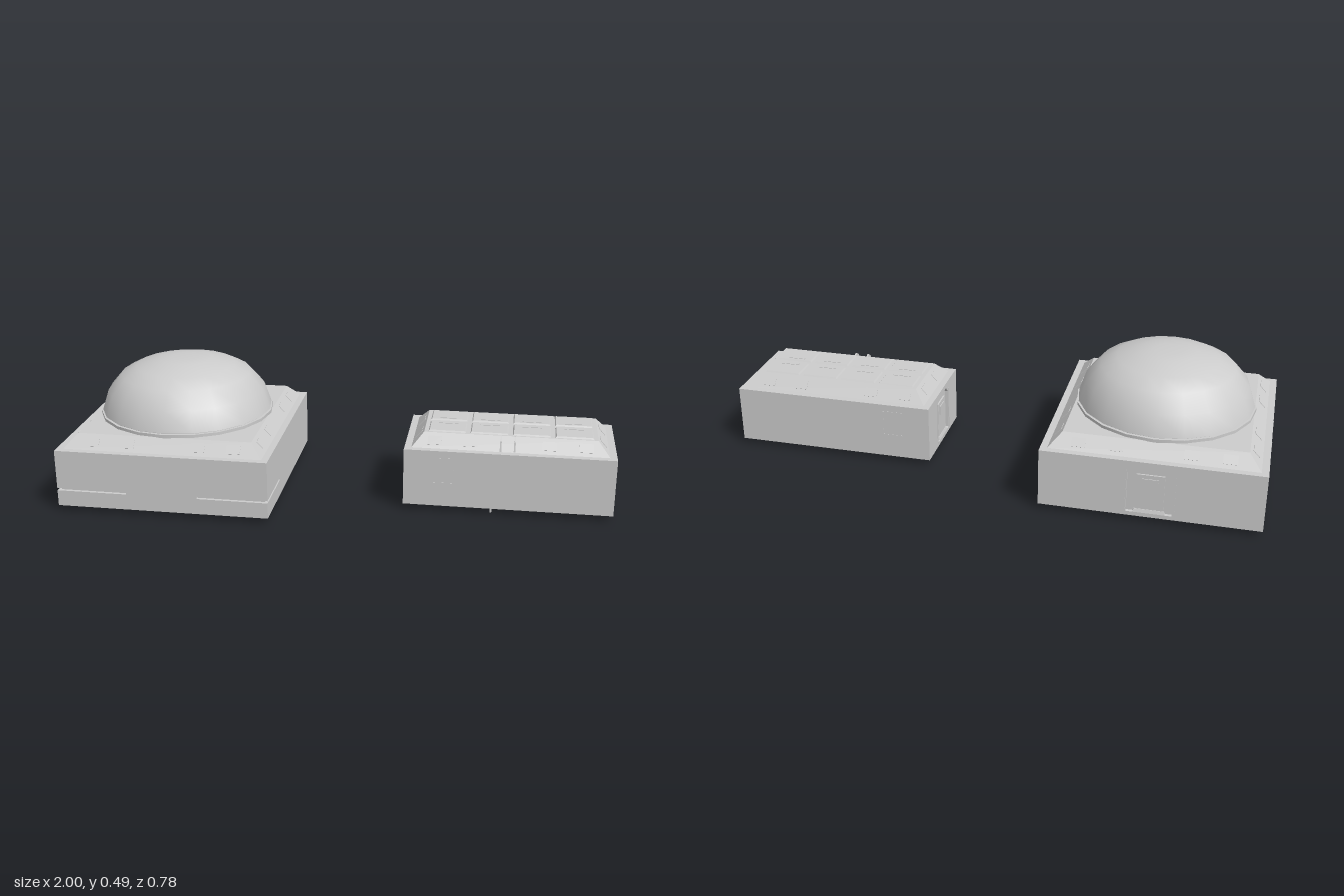
import * as THREE from 'three';
import { toCreasedNormals } from 'three/addons/utils/BufferGeometryUtils.js';

const BASE = 0.02, WALL_TOP = 0.233, ROOF = 0.28, H = WALL_TOP - BASE, T = 0.012;

export function createModel() {
  const root = new THREE.Group();
  const grey = new THREE.MeshStandardMaterial({ color: 0xcccccc });
  grey.name = 'panel grey';

  const add = (parent, name, geo, x = 0, y = 0, z = 0) => {
    const m = new THREE.Mesh(geo, grey);
    m.name = name;
    m.position.set(x, y, z);
    parent.add(m);
    return m;
  };
  const box = (w, h, d) => new THREE.BoxGeometry(w, h, d);

  // Box whose top is smaller than its base by the same inset on each side
  const frustum = (w, h, d, inset) => {
    const g = box(w, h, d).toNonIndexed();
    const p = g.attributes.position;
    for (let i = 0; i < p.count; i++) {
      if (p.getY(i) > 0) {
        p.setX(i, p.getX(i) - Math.sign(p.getX(i)) * inset);
        p.setZ(i, p.getZ(i) - Math.sign(p.getZ(i)) * inset);
      }
    }
    g.computeVertexNormals();
    return g;
  };

  // Wall plate with optional end slots and a door opening
  const wallShape = (w, { left = 0, right = 0, door = 0 }) => {
    const a = w / 2, s = new THREE.Shape();
    const lo = 0.079 - BASE, hi = 0.088 - BASE;
    s.moveTo(-a, 0);
    s.lineTo(a, 0);
    if (right) [[a, lo], [a - right, lo], [a - right, hi], [a, hi]].forEach(q => s.lineTo(...q));
    s.lineTo(a, H);
    s.lineTo(-a, H);
    if (left) [[-a, hi], [left - a, hi], [left - a, lo], [-a, lo]].forEach(q => s.lineTo(...q));
    s.closePath();
    if (door) {
      const b = door / 2, hole = new THREE.Path();
      [[-b, 0.015], [-b, 0.17], [0.025 - b, 0.195], [b - 0.025, 0.195], [b, 0.17], [b, 0.015]]
        .forEach((q, i) => (i ? hole.lineTo(...q) : hole.moveTo(...q)));
      hole.closePath();
      s.holes.push(hole);
    }
    return s;
  };

  const addWall = (parent, w, dist, angle, opts = {}) => {
    const side = new THREE.Group();
    side.name = 'wallSide';
    side.rotation.y = angle;
    parent.add(side);
    const geo = new THREE.ExtrudeGeometry(wallShape(w, opts), { depth: T, bevelEnabled: false });
    add(side, 'wall', geo, 0, BASE, dist - T);
    if (opts.door) {
      // Recessed door leaf with window, sill and frame strips
      add(side, 'doorLeaf', box(opts.door * 0.62, 0.14, 0.006), 0, 0.112, dist - T + 0.003);
      add(side, 'doorWindow', box(opts.door * 0.36, 0.035, 0.004), 0, 0.15, dist - T + 0.007);
      add(side, 'doorSill', frustum(opts.door * 0.7, 0.012, 0.012, 0.004), 0, 0.041, dist - 0.006);
      for (const k of [-1, 1])
        add(side, 'doorFrame', box(0.005, 0.17, 0.002), k * (opts.door / 2 + 0.006), 0.118, dist + 0.001);
    }
  };

  // Thin vent plates lying on one roof slope
  const addVents = (parent, dist, run, angle, offsets) => {
    const side = new THREE.Group();
    side.name = 'roofVents';
    side.rotation.y = angle;
    parent.add(side);
    for (const x of offsets) {
      const v = add(side, 'vent', box(0.05, 0.034, 0.003), x, (WALL_TOP + ROOF) / 2, dist - run / 2);
      v.rotation.x = -Math.atan2(run, ROOF - WALL_TOP);
    }
  };

  const addShell = (parent, w, d, inset) => {
    add(parent, 'core', box(w - 2 * T, H, d - 2 * T), 0, BASE + H / 2, 0);
    add(parent, 'roofSlope', frustum(w - 0.05, ROOF - WALL_TOP, d - 0.05, inset), 0, (WALL_TOP + ROOF) / 2, 0);
  };

  // Domed square module
  const domeModule = new THREE.Group();
  domeModule.name = 'domeModule';
  domeModule.position.x = -0.61;
  root.add(domeModule);
  const S = 0.78;
  addShell(domeModule, S, S, 0.045);
  addWall(domeModule, S, S / 2, 0, { left: 0.26, right: 0.26 });
  addWall(domeModule, S, S / 2, Math.PI / 2, { left: 0.22 });
  addWall(domeModule, S, S / 2, -Math.PI / 2, { right: 0.22, door: 0.16 });
  addWall(domeModule, S, S / 2, Math.PI, { door: 0.16 });
  for (let i = 0; i < 4; i++)
    addVents(domeModule, S / 2 - 0.025, 0.045, i * Math.PI / 2, [-0.26, -0.13, 0.13, 0.26]);

  // Dome and its base ring
  add(domeModule, 'domeRing', new THREE.CylinderGeometry(0.325, 0.325, 0.012, 20), 0, 0.285, 0);
  add(domeModule, 'domeNeck', new THREE.CylinderGeometry(0.314, 0.314, 0.006, 20), 0, 0.293, 0);
  const profile = [[0, 0.295], [0.32, 0.295], [0.295, 0.37], [0.243, 0.43], [0.185, 0.46], [0.1, 0.484], [0.05, 0.488], [0, 0.488]]
    .map(q => new THREE.Vector2(...q));
  add(domeModule, 'dome', toCreasedNormals(new THREE.LatheGeometry(profile, 20), 0.8));

  // Underside hub and octagonal outline
  add(domeModule, 'bottomHub', new THREE.CylinderGeometry(0.015, 0.015, 0.006, 12), 0, 0.017, 0);
  const outline = add(domeModule, 'bottomOutline', new THREE.RingGeometry(0.222, 0.226, 8, 1, Math.PI / 8), 0, 0.019, 0);
  outline.rotation.x = Math.PI / 2;

  // Long flat-roofed module
  const longModule = new THREE.Group();
  longModule.name = 'longModule';
  longModule.position.x = 0.618;
  root.add(longModule);
  const W = 0.756, D = 0.37;
  addShell(longModule, W, D, 0.042);
  addWall(longModule, W, D / 2, 0);
  addWall(longModule, W, D / 2, Math.PI);
  addWall(longModule, D, W / 2, Math.PI / 2);
  addWall(longModule, D, W / 2, -Math.PI / 2, { door: 0.14 });
  for (const a of [0, Math.PI]) addVents(longModule, D / 2 - 0.025, 0.042, a, [-0.27, -0.14, 0.14, 0.27]);
  for (const a of [Math.PI / 2, -Math.PI / 2]) addVents(longModule, W / 2 - 0.025, 0.042, a, [-0.063, 0.063]);

  // Roof panels, each with a small handle strip
  for (let i = 0; i < 4; i++) {
    for (const k of [-1, 1]) {
      const x = (i - 1.5) * 0.152;
      add(longModule, 'roofPanel', frustum(0.136, 0.005, 0.1, 0.004), x, ROOF + 0.0025, k * 0.06);
      add(longModule, 'panelHandle', box(0.07, 0.002, 0.01), x, ROOF + 0.0055, k * 0.028);
    }
  }

  // Access panel outlines on the long walls
  for (const k of [-1, 1]) {
    const z = k * (D / 2 + 0.0005);
    for (const y of [0.11, 0.205]) add(longModule, 'hatchEdge', box(0.075, 0.003, 0.001), -0.235, y, z);
    add(longModule, 'hatchEdge', box(0.003, 0.098, 0.001), -0.199, 0.1575, z);
  }

  // Twin fins on the front slope
  const fin = new THREE.Shape([[0.116, 0.279], [0.16, 0.234], [0.152, 0.27], [0.132, 0.284]].map(q => new THREE.Vector2(...q)));
  for (const x of [-0.03, 0.02]) {
    const f = add(longModule, 'roofFin', new THREE.ExtrudeGeometry(fin, { depth: 0.006, bevelEnabled: false }), x, 0, 0);
    f.rotation.y = -Math.PI / 2;
  }

  // Small ground pin
  add(longModule, 'groundPin', box(0.006, BASE, 0.01), -0.058, BASE / 2, 0.17);

  return root;
}
